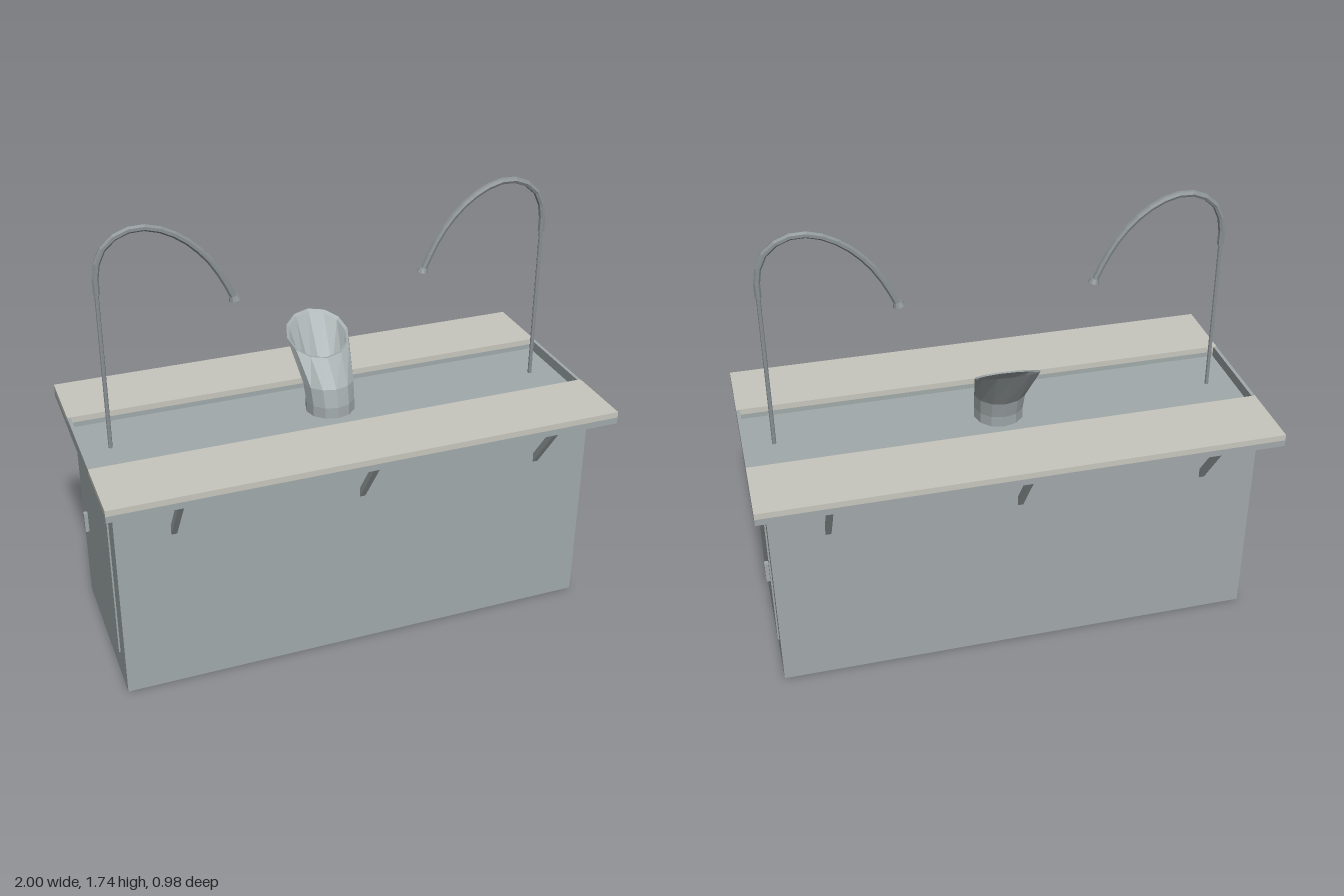
import * as THREE from 'three';

export function createModel() {
  const model = new THREE.Group();
  const mat = (name, color, double) => {
    const m = new THREE.MeshStandardMaterial({ color });
    m.name = name;
    m.flatShading = true;
    if (double) m.side = THREE.DoubleSide;
    return m;
  };
  const steel = mat('steel grey', 0xa1a9aa);
  const stone = mat('pale stone', 0xc7c7be);
  const lampMetal = mat('lamp metal', 0x8a9194);

  const add = (name, geo, material, x = 0, y = 0, z = 0, parent = model) => {
    const m = new THREE.Mesh(geo, material);
    m.name = name;
    m.position.set(x, y, z);
    parent.add(m);
    return m;
  };
  // Box given by its minimum and maximum corners
  const box = (name, material, x0, x1, y0, y1, z0, z1) =>
    add(name, new THREE.BoxGeometry(x1 - x0, y1 - y0, z1 - z0), material,
      (x0 + x1) / 2, (y0 + y1) / 2, (z0 + z1) / 2);

  // Cabinet and recessed tray floor
  box('cabinet', steel, -0.955, 0.955, 0, 0.87, -0.35, 0.35);
  box('trayFloor', steel, -0.99, 0.99, 0.868, 0.876, -0.2, 0.2);

  // Worktops on steel frames along both long sides
  for (const s of [-1, 1]) {
    const z0 = s > 0 ? 0.2 : -0.49, z1 = s > 0 ? 0.49 : -0.2;
    box('worktopFrame', steel, -1, 1, 0.87, 0.896, z0, z1);
    box('worktop', stone, -1, 1, 0.896, 0.92, z0, z1);
  }

  // Tray ends, doors and door handles
  for (const s of [-1, 1]) {
    const side = (name, a, b, ...rest) =>
      box(name, steel, Math.min(s * a, s * b), Math.max(s * a, s * b), ...rest);
    side('trayEnd', 0.986, 1, 0.868, 0.919, -0.2, 0.2);
    side('door', 0.95, 0.961, 0.12, 0.745, -0.255, 0.255);
    side('doorHandle', 0.955, 0.976, 0.39, 0.475, -0.218, -0.198);
  }

  // Diagonal brackets below the overhang, three per long side
  const strut = new THREE.Shape([[0.488, 0.87], [0.46, 0.87], [0.35, 0.715], [0.35, 0.675]]
    .map(([z, y]) => new THREE.Vector2(z, y)));
  const strutGeo = new THREE.ExtrudeGeometry(strut, { depth: 0.022, bevelEnabled: false });
  strutGeo.translate(0, 0, -0.011);
  for (const s of [-1, 1]) {
    for (const x of [-0.735, 0, 0.735]) {
      add('bracket', strutGeo, steel, x).rotation.y = -s * Math.PI / 2;
    }
  }

  // Gooseneck lamps at both ends
  const neckPath = new THREE.CatmullRomCurve3([
    [0.878, 1.5], [0.875, 1.59], [0.845, 1.665], [0.785, 1.712], [0.715, 1.727], [0.635, 1.71],
    [0.55, 1.66], [0.475, 1.585], [0.42, 1.5], [0.38, 1.415],
  ].map(([x, y]) => new THREE.Vector3(x, y, 0)));
  const neckGeo = new THREE.TubeGeometry(neckPath, 14, 0.013, 7);
  for (const s of [-1, 1]) {
    const lamp = new THREE.Group();
    lamp.name = s > 0 ? 'leftLamp' : 'rightLamp';
    lamp.rotation.y = s > 0 ? 0 : Math.PI;
    add('lampPole', new THREE.CylinderGeometry(0.008, 0.008, 0.66, 8), lampMetal, 0.878, 1.2, 0, lamp);
    add('lampNeck', neckGeo, lampMetal, 0, 0, 0, lamp);
    add('lampHead', new THREE.CylinderGeometry(0.016, 0.023, 0.018, 10), lampMetal, 0.376, 1.41, 0, lamp)
      .rotation.z = -0.25;
    model.add(lamp);
  }

  // Slanted hood: rings of [front z, front y, back z, back y, half width], outside up then inside down
  const rings = [
    [0.088, 0.872, -0.105, 0.872, 0.098],
    [0.086, 0.92, -0.107, 0.92, 0.098],
    [0.065, 0.99, -0.125, 0.99, 0.102],
    [-0.035, 1.08, -0.263, 1.193, 0.127],
    [-0.045, 1.079, -0.252, 1.182, 0.116],
    [0.053, 0.99, -0.113, 0.99, 0.09],
    [0.074, 0.92, -0.095, 0.92, 0.086],
    [0.076, 0.877, -0.093, 0.877, 0.086],
  ];
  const n = 12, pos = [], idx = [];
  rings.forEach(([zf, yf, zb, yb, w], r) => {
    for (let i = 0; i < n; i++) {
      const a = (i / n) * Math.PI * 2, t = (1 + Math.cos(a)) / 2;
      pos.push(w * Math.sin(a), yb + (yf - yb) * t, zb + (zf - zb) * t);
      if (r === rings.length - 1) continue;
      const p = r * n + i, q = r * n + (i + 1) % n;
      idx.push(p, q, q + n, p, q + n, p + n);
    }
  });
  const hood = new THREE.BufferGeometry();
  hood.setAttribute('position', new THREE.Float32BufferAttribute(pos, 3));
  hood.setIndex(idx);
  hood.computeVertexNormals();
  add('hood', hood, steel);

  return model;
}
